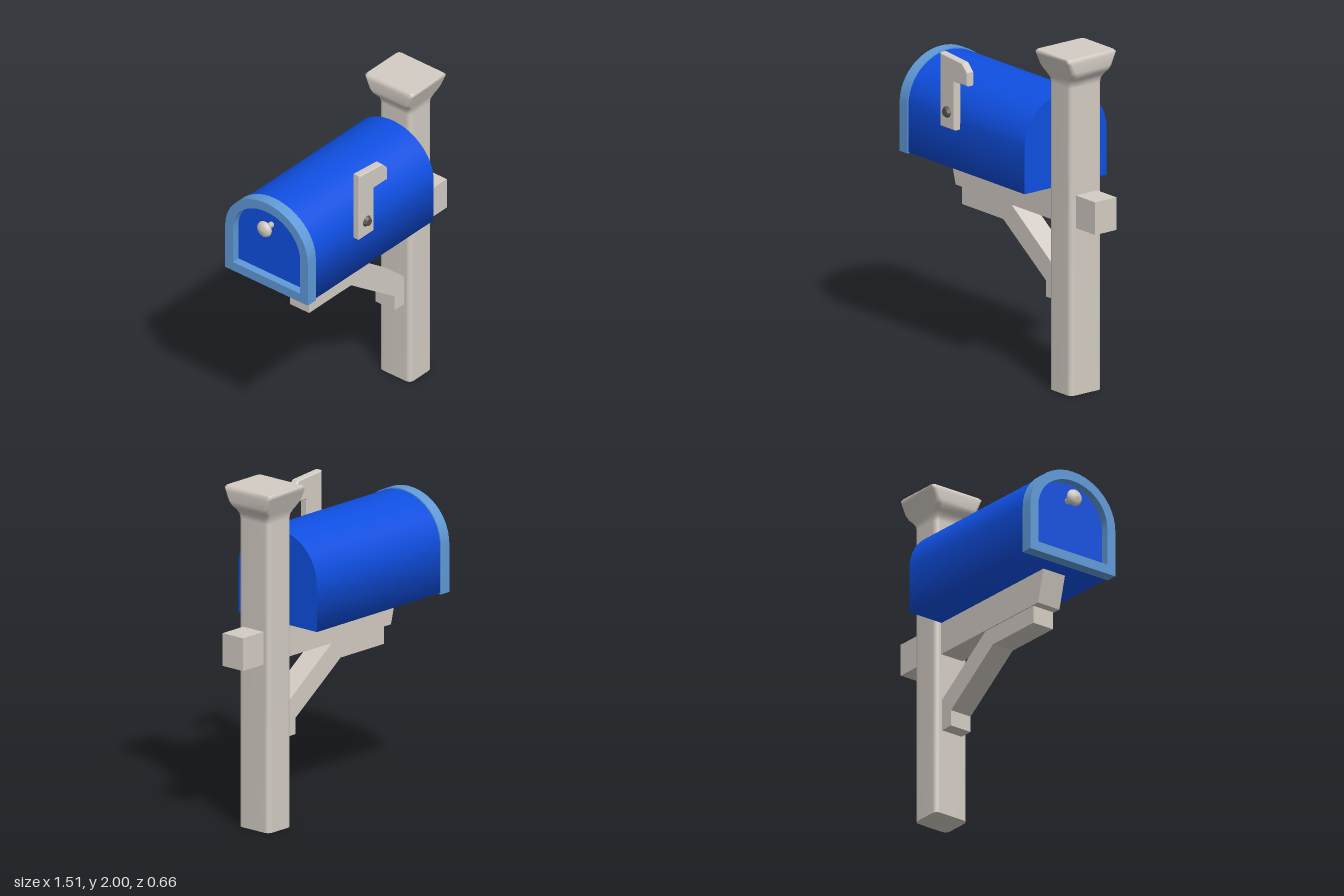
import * as THREE from 'three';
import { toCreasedNormals } from 'three/addons/utils/BufferGeometryUtils.js';

const material = (name, color) => {
  const m = new THREE.MeshStandardMaterial({ color });
  m.name = name;
  return m;
};

// Smooth skin through equal-length rings, closed by flat end caps (convex rings)
function loft(rings) {
  const pos = [], index = [], n = rings[0].length;
  rings.forEach(r => r.forEach(p => pos.push(p.x, p.y, p.z)));
  for (let i = 0; i < rings.length - 1; i++) {
    for (let j = 0; j < n; j++) {
      const k = (j + 1) % n;
      const a = i * n + j, b = i * n + k, c = b + n, d = a + n;
      index.push(a, b, c, a, c, d);
    }
  }
  [rings[0], rings[rings.length - 1]].forEach((ring, end) => {
    const base = pos.length / 3;
    const mid = new THREE.Vector3();
    ring.forEach(p => { pos.push(p.x, p.y, p.z); mid.addScaledVector(p, 1 / n); });
    pos.push(mid.x, mid.y, mid.z);
    for (let j = 0; j < n; j++) {
      const a = base + j, b = base + (j + 1) % n;
      index.push(base + n, end ? a : b, end ? b : a);
    }
  });
  const g = new THREE.BufferGeometry();
  g.setAttribute('position', new THREE.Float32BufferAttribute(pos, 3));
  g.setIndex(index);
  g.computeVertexNormals();
  return g;
}

// Box outline as [z, y]: half-elliptic roof on straight walls, grown by `grow`
const BOX_Z = -0.028, SPRING = 1.455;
function arch(grow) {
  const hw = 0.297 + grow, ry = 0.27 + grow, pts = [], steps = 24;
  for (let i = 0; i <= steps; i++) {
    const a = -Math.PI / 2 + Math.PI * i / steps;
    pts.push([BOX_Z + hw * Math.sin(a), SPRING + ry * Math.cos(a)]);
  }
  pts.push([BOX_Z + hw, 1.178 - grow], [BOX_Z - hw, 1.178 - grow]);
  return pts;
}
const archPath = grow => arch(grow).map(([z, y]) => new THREE.Vector2(-z, y));

// Rounded rectangle ring of the post at height y
function postRing(y, hx, hz, r) {
  const ring = [], cx = 0.488, cz = -0.02;
  for (let c = 0; c < 4; c++) {
    const mid = Math.PI / 4 + c * Math.PI / 2;
    for (let s = 0; s <= 4; s++) {
      const a = mid + (s / 4 - 0.5) * Math.PI / 2;
      ring.push(new THREE.Vector3(
        cx + Math.sign(Math.sin(mid)) * (hx - r) + r * Math.sin(a), y,
        cz + Math.sign(Math.cos(mid)) * (hz - r) + r * Math.cos(a)));
    }
  }
  return ring;
}

// Side-view outline extruded from z0 to z1
function slab(points, z0, z1, bevel = 0) {
  const shape = new THREE.Shape(points.map(p => new THREE.Vector2(...p)));
  return new THREE.ExtrudeGeometry(shape, {
    depth: z1 - z0 - 2 * bevel, bevelEnabled: bevel > 0, bevelThickness: bevel,
    bevelSize: bevel, bevelOffset: -bevel, bevelSegments: 1,
  }).translate(0, 0, z0 + bevel);
}

export function createModel() {
  const group = new THREE.Group();
  group.name = 'mailbox';
  const blue = material('blue', 0x0f4fe2);
  const lightBlue = material('lightBlue', 0x5f9ad8);
  const stone = material('warmGrey', 0xd3ccc4);
  const dark = material('darkGrey', 0x55534f);
  const add = (name, geometry, mat) => {
    const mesh = new THREE.Mesh(geometry, mat);
    mesh.name = name;
    group.add(mesh);
    return mesh;
  };

  // Post with flared cap: height, half width, half depth, corner radius
  add('post', loft([
    [0, 0.097, 0.115, 0.03], [1.81, 0.097, 0.115, 0.03], [1.84, 0.103, 0.118, 0.03],
    [1.865, 0.122, 0.127, 0.03], [1.89, 0.146, 0.137, 0.03], [1.915, 0.154, 0.147, 0.025],
    [1.97, 0.155, 0.168, 0.02], [1.99, 0.153, 0.178, 0.02], [2, 0.143, 0.17, 0.02],
  ].map(r => postRing(...r))), stone);

  // Support arm and diagonal brace
  add('arm', slab([[-0.535, 1.177], [-0.485, 0.985], [0.757, 0.985], [0.757, 1.177]], -0.097, 0.057), stone);
  add('brace', slab([
    [-0.435, 0.985], [-0.435, 0.88], [-0.07, 0.88], [0.31, 0.61],
    [0.31, 0.515], [0.4, 0.515], [0.4, 0.697], [0, 0.985],
  ], -0.09, 0.05), stone);

  // Arched box
  const boxRing = x => arch(0).map(([z, y]) => new THREE.Vector3(x, y, z));
  add('box', loft([boxRing(-0.65), boxRing(0.39)]), blue);

  // Door frame around a recessed door
  const frame = new THREE.Shape(archPath(0.007));
  frame.holes.push(new THREE.Path(archPath(-0.05)));
  const frameGeometry = new THREE.ExtrudeGeometry(frame, { depth: 0.07, bevelEnabled: false })
    .rotateY(Math.PI / 2).translate(-0.714, 0, 0);
  add('doorFrame', toCreasedNormals(frameGeometry, 0.6), lightBlue);
  add('door', new THREE.ExtrudeGeometry(new THREE.Shape(archPath(-0.045)), { depth: 0.012, bevelEnabled: false })
    .rotateY(Math.PI / 2).translate(-0.665, 0, 0), blue);

  // Door knob
  const knob = [[0, 0], [0.018, 0], [0.018, 0.05], [0.044, 0.054], [0.05, 0.065],
    [0.046, 0.078], [0.03, 0.09], [0, 0.095]].map(p => new THREE.Vector2(...p));
  add('knob', new THREE.LatheGeometry(knob, 16).rotateZ(Math.PI / 2), stone)
    .position.set(-0.662, 1.565, -0.03);

  // Signal flag and its bolt
  add('flag', slab([
    [-0.31, 1.423], [-0.18, 1.423], [-0.18, 1.71], [-0.065, 1.71],
    [-0.065, 1.79], [-0.11, 1.837], [-0.31, 1.855],
  ], 0.266, 0.314, 0.006), stone);
  add('flagBolt', toCreasedNormals(new THREE.CylinderGeometry(0.024, 0.038, 0.024, 8), 0.3)
    .rotateX(Math.PI / 2), dark).position.set(-0.245, 1.52, 0.321);

  return group;
}
